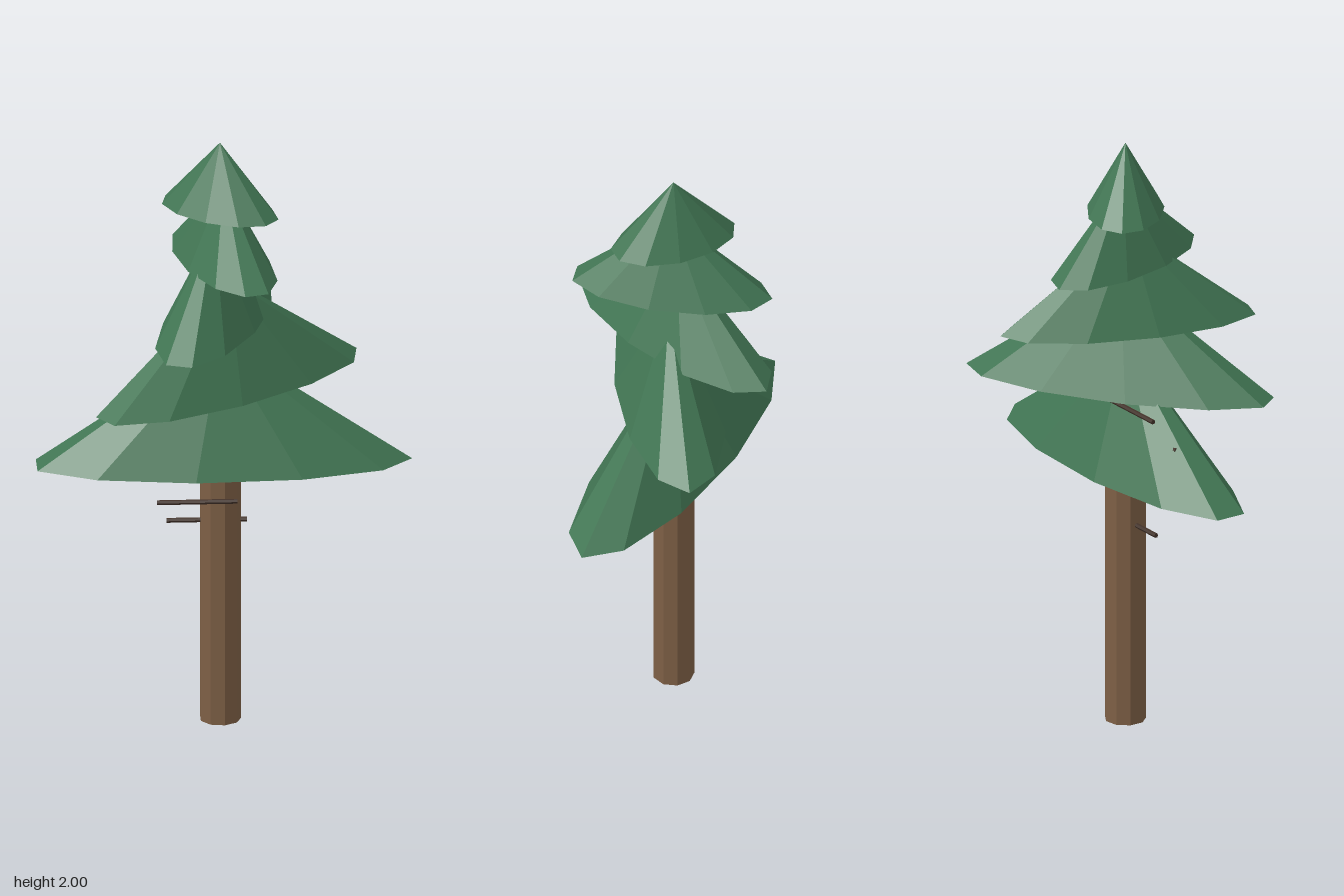
import * as THREE from 'three';

const material = (color) => new THREE.MeshStandardMaterial({ color, flatShading: true });

function addMesh(group, name, geometry, mat, x, y, z) {
  const mesh = new THREE.Mesh(geometry, mat);
  mesh.name = name;
  mesh.position.set(x, y, z);
  group.add(mesh);
}

export function createModel() {
  const tree = new THREE.Group();
  tree.name = 'pineTree';
  const bark = material(0x7d5f45);
  const twigWood = material(0x43332a);
  const needles = material(0x417553);

  // Nine-sided trunk with one corner towards +x
  const trunkHeight = 1.56;
  const trunk = new THREE.CylinderGeometry(0.068, 0.068, trunkHeight, 9).rotateY(Math.PI / 2);
  addMesh(tree, 'trunk', trunk, bark, -0.016, trunkHeight / 2, 0);

  // Oval foliage cones, each turned further than the one below:
  // [base y, height, long radius, short radius, centre x]
  const tiers = [
    [0.89, 0.42, 0.62, 0.187, -0.015],
    [1.155, 0.375, 0.529, 0.172, 0.01],
    [1.38, 0.33, 0.432, 0.156, -0.035],
    [1.587, 0.28, 0.333, 0.141, -0.004],
    [1.768, 0.232, 0.215, 0.126, -0.017],
  ];
  tiers.forEach(([y, height, long, short, x], i) => {
    const cone = new THREE.ConeGeometry(1, height, 11)
      .rotateY(Math.PI / 2)
      .scale(long, 1, short)
      .rotateY(i * 0.62);
    addMesh(tree, `foliageTier${i + 1}`, cone, needles, x, y + height / 2, 0);
  });

  // Bare twigs along x, stepping up in a spiral
  for (let i = 0; i < 6; i++) {
    const angle = i * 0.9;
    const twig = new THREE.CylinderGeometry(0.008, 0.008, 0.26, 6).rotateZ(Math.PI / 2);
    addMesh(tree, `twig${i + 1}`, twig, twigWood,
      -0.15 + 0.09 * Math.cos(angle), 0.69 + i * 0.09, 0.09 * Math.sin(angle));
  }

  return tree;
}
